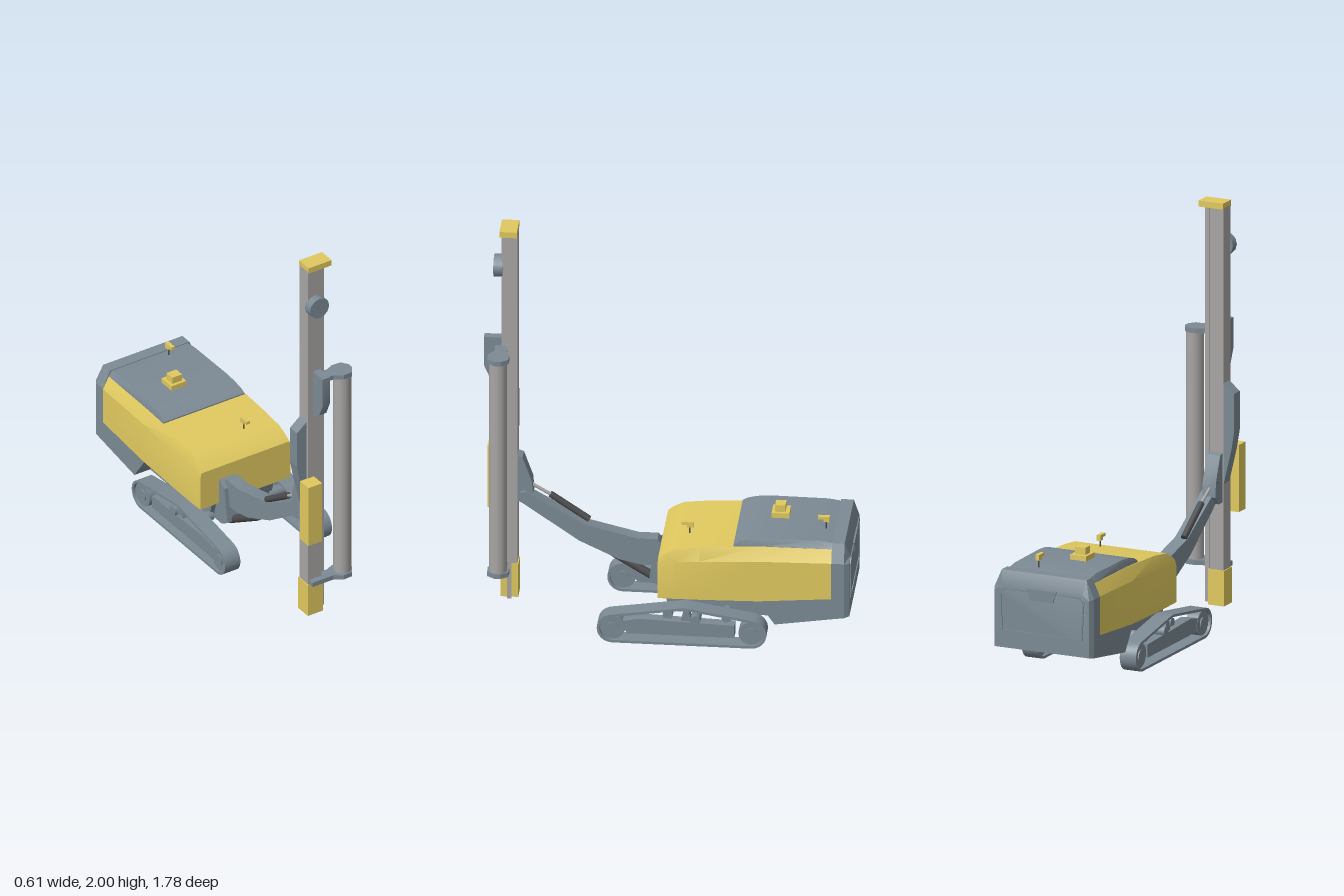
import * as THREE from 'three';
import { toCreasedNormals } from 'three/addons/utils/BufferGeometryUtils.js';

const paint = (color, flat = false) => new THREE.MeshStandardMaterial({ color, flatShading: flat });
const YELLOW = paint(0xe0c95f), SLATE = paint(0x7c8a94), STEEL = paint(0xa8a6a4), DARK = paint(0x4c4c4e);

export function createModel() {
  const root = new THREE.Group();

  const add = (name, geo, mat, parent = root) => {
    const m = new THREE.Mesh(geo, mat);
    m.name = name;
    parent.add(m);
    return m;
  };
  // box from min/max ranges
  const box = (name, mat, [x0, x1], [y0, y1], [z0, z1], parent = root) => {
    const m = add(name, new THREE.BoxGeometry(x1 - x0, y1 - y0, z1 - z0), mat, parent);
    m.position.set((x0 + x1) / 2, (y0 + y1) / 2, (z0 + z1) / 2);
    return m;
  };
  // side outline in (z, y), thickened from x0 to x1
  const slabGeo = (shape, x0, x1) => toCreasedNormals(
    new THREE.ExtrudeGeometry(shape, { depth: x1 - x0, bevelEnabled: false, curveSegments: 10 })
      .rotateY(-Math.PI / 2).translate(x1, 0, 0), 0.6);
  const poly = pts => new THREE.Shape(pts.map(p => new THREE.Vector2(...p)));
  const slab = (name, mat, pts, x0, x1, parent = root) => add(name, slabGeo(poly(pts), x0, x1), mat, parent);
  // round bar between two points
  const rod = (name, mat, a, b, r, parent = root, sides = 16) => {
    const p = new THREE.Vector3(...a), q = new THREE.Vector3(...b);
    const m = add(name, new THREE.CylinderGeometry(r, r, p.distanceTo(q), sides), mat, parent);
    m.position.copy(p).add(q).multiplyScalar(0.5);
    m.quaternion.setFromUnitVectors(new THREE.Vector3(0, 1, 0), q.sub(p).normalize());
    return m;
  };
  // closed loft through symmetric sections, front to back:
  // [z, bottom y, shoulder y, top y, half width, top half width, (shoulder z, top z)]
  const loft = (name, mat, sections, parent = root) => {
    const rings = sections.map(([z, yb, ys, yt, w, wt, zs = z, zt = zs]) => [
      [-w, yb, z], [w, yb, z], [w, ys, zs], [wt, yt, zt], [-wt, yt, zt], [-w, ys, zs]]);
    const pos = [];
    const tri = (a, b, c) => pos.push(...a, ...b, ...c);
    for (let s = 0; s + 1 < rings.length; s++) for (let i = 0; i < 6; i++) {
      const j = (i + 1) % 6, [r, q] = [rings[s], rings[s + 1]];
      tri(r[i], q[i], q[j]);
      tri(r[i], q[j], r[j]);
    }
    const f = rings[0], k = rings[rings.length - 1];
    for (let i = 1; i < 5; i++) { tri(f[0], f[i], f[i + 1]); tri(k[0], k[i + 1], k[i]); }
    const g = new THREE.BufferGeometry();
    g.setAttribute('position', new THREE.Float32BufferAttribute(pos, 3));
    g.computeVertexNormals();
    return add(name, toCreasedNormals(g, 0.35), mat, parent);
  };

  // --- Body ---
  loft('engineCover', YELLOW, [
    [0.028, 0.225, 0.405, 0.43, 0.256, 0.25],
    [0.0, 0.225, 0.413, 0.455, 0.258, 0.246],
    [-0.05, 0.226, 0.42, 0.482, 0.26, 0.242],
    [-0.17, 0.228, 0.432, 0.498, 0.262, 0.238],
    [-0.45, 0.235, 0.447, 0.513, 0.264, 0.235],
    [-0.8, 0.265, 0.455, 0.515, 0.265, 0.232]]);
  loft('roofHood', SLATE, [
    [-0.33, 0.48, 0.5, 0.513, 0.232, 0.23],
    [-0.355, 0.48, 0.505, 0.53, 0.232, 0.226],
    [-0.4, 0.48, 0.51, 0.543, 0.232, 0.222],
    [-0.47, 0.48, 0.515, 0.55, 0.232, 0.22],
    [-0.74, 0.48, 0.515, 0.55, 0.232, 0.216],
    [-0.81, 0.48, 0.515, 0.54, 0.232, 0.216]]);
  loft('rearCasing', SLATE, [
    [-0.8, 0.2, 0.455, 0.545, 0.265, 0.225],
    [-0.86, 0.2, 0.455, 0.545, 0.265, 0.225],
    [-0.885, 0.2, 0.45, 0.475, 0.25, 0.215]]);
  loft('rearUnderbody', SLATE, [
    [-0.45, 0.228, 0.23, 0.236, 0.264, 0.264],
    [-0.53, 0.115, 0.235, 0.243, 0.264, 0.264],
    [-0.8, 0.157, 0.255, 0.267, 0.265, 0.265],
    [-0.86, 0.166, 0.255, 0.267, 0.265, 0.265],
    [-0.885, 0.17, 0.255, 0.267, 0.25, 0.25]]);
  slab('chassis', SLATE, [[0.02, 0.23], [0.0, 0.2], [-0.02, 0.115], [-0.53, 0.115], [-0.46, 0.235]], -0.175, 0.175);
  // rear door frame and latch
  const door = new THREE.Group();
  door.name = 'rearDoor';
  root.add(door);
  const frame = poly([[-0.215, 0.25], [0.215, 0.25], [0.225, 0.44], [0.2, 0.465], [-0.2, 0.465], [-0.225, 0.44]]);
  frame.holes.push(new THREE.Path([[-0.207, 0.258], [-0.216, 0.437], [-0.197, 0.457], [0.197, 0.457], [0.216, 0.437], [0.207, 0.258]]
    .map(p => new THREE.Vector2(...p))));
  add('doorFrame', new THREE.ExtrudeGeometry(frame, { depth: 0.006, bevelEnabled: false }).translate(0, 0, -0.89), SLATE, door);
  const latch = poly([[-0.08, 0.475], [-0.06, 0.42], [0.06, 0.42], [0.08, 0.475]]);
  add('doorLatch', new THREE.ExtrudeGeometry(latch, { depth: 0.02, bevelEnabled: false }).translate(0, 0, -0.893), SLATE, door);

  // --- Roof fittings ---
  box('roofBoxBase', YELLOW, [-0.08, 0.005], [0.545, 0.575], [-0.575, -0.49]);
  box('roofBoxTop', YELLOW, [-0.065, -0.01], [0.575, 0.61], [-0.555, -0.505]);
  for (const [z, y] of [[-0.1, 0.48], [-0.75, 0.542]]) {
    const lamp = new THREE.Group();
    lamp.name = 'workLamp';
    lamp.position.set(0.08, y, z);
    root.add(lamp);
    rod('lampStem', DARK, [0, 0, -0.008], [0, 0.055, -0.008], 0.004, lamp, 8);
    box('lampHead', YELLOW, [-0.01, 0.01], [0.055, 0.07], [-0.025, 0.03], lamp);
    box('lampVisor', YELLOW, [-0.01, 0.01], [0.042, 0.057], [-0.025, 0.005], lamp);
  }

  // --- Crawler tracks ---
  const trackLoop = (Kind, t) => {
    const p = new Kind(), r = 0.074 - t, a = 1.4;
    p.moveTo(-0.42, t);
    p.lineTo(0.24, t);
    p.absarc(0.24, 0.074, r, -Math.PI / 2, a, false);
    p.lineTo(-0.06, 0.195 - t);
    p.lineTo(-0.1, 0.2 - t);
    p.lineTo(-0.14, 0.195 - t);
    p.absarc(-0.42, 0.074, r, Math.PI - a, Math.PI * 1.5, false);
    return p;
  };
  for (const s of [-1, 1]) {
    const track = new THREE.Group();
    track.name = s > 0 ? 'leftTrack' : 'rightTrack';
    track.position.x = s * 0.26;
    root.add(track);
    const belt = trackLoop(THREE.Shape, 0);
    belt.holes.push(trackLoop(THREE.Path, 0.013));
    add('belt', slabGeo(belt, -0.043, 0.043), SLATE, track);
    for (const z of [0.24, -0.42]) {
      rod('trackWheel', SLATE, [-0.03, 0.074, z], [0.03, 0.074, z], 0.06, track, 24);
      rod('wheelHub', SLATE, [-0.036, 0.074, z], [0.036, 0.074, z], 0.03, track);
    }
    slab('trackFrame', SLATE, [[0.21, 0.105], [0.17, 0.045], [-0.34, 0.045], [-0.34, 0.11], [0.12, 0.125]], -0.028, 0.028, track);
    rod('topRoller', SLATE, [-0.035, 0.13, -0.155], [0.035, 0.13, -0.155], 0.025, track);
    slab('rollerBracket', SLATE, [[-0.085, 0.12], [-0.135, 0.12], [-0.12, 0.185], [-0.1, 0.185]], -0.02, 0.02, track);
    for (const z of [-0.02, -0.3])
      rod('trackAxle', SLATE, [-s * 0.1, 0.135, z], [0, 0.135, z], 0.024, track);
  }

  // --- Boom ---
  slab('boomBase', SLATE, [[0.075, 0.33], [0.03, 0.36], [-0.02, 0.3], [-0.03, 0.12], [0.05, 0.12], [0.1, 0.15]], -0.15, -0.06);
  slab('boom', SLATE, [[0.72, 0.565], [0.712, 0.585], [0.69, 0.593], [0.405, 0.43], [0.155, 0.37], [0.06, 0.37], [0.045, 0.35],
    [0.03, 0.23], [0.14, 0.23], [0.245, 0.255], [0.435, 0.345], [0.7, 0.53], [0.718, 0.54]], -0.13, -0.062);
  rod('lowerCylinder', DARK, [-0.105, 0.135, 0.06], [-0.105, 0.28, 0.295], 0.02);
  rod('lowerPiston', STEEL, [-0.105, 0.28, 0.295], [-0.105, 0.355, 0.435], 0.01);
  rod('upperCylinder', DARK, [-0.115, 0.435, 0.39], [-0.115, 0.56, 0.575], 0.016);
  rod('upperPiston', STEEL, [-0.115, 0.56, 0.575], [-0.115, 0.62, 0.68], 0.008);
  slab('mastBracket', SLATE, [[0.735, 0.775], [0.705, 0.765], [0.66, 0.64], [0.655, 0.57], [0.69, 0.53], [0.735, 0.53]], -0.15, -0.08);

  // --- Mast ---
  box('mast', STEEL, [-0.155, -0.08], [0.02, 1.975], [0.73, 0.805]);
  box('feedRail', STEEL, [-0.065, -0.045], [0.025, 1.975], [0.755, 0.775]);
  box('mastCap', YELLOW, [-0.155, -0.025], [1.97, 2.0], [0.727, 0.81]);
  box('mastFoot', YELLOW, [-0.16, -0.075], [0.02, 0.195], [0.725, 0.81]);
  rod('hosePulley', SLATE, [-0.115, 1.775, 0.8], [-0.115, 1.775, 0.843], 0.055, root, 12);
  slab('rotationUnit', SLATE, [[0.8, 1.4], [0.89, 1.4], [0.89, 1.25], [0.86, 1.18], [0.8, 1.14]], -0.128, -0.088);
  const guard = poly([[-0.15, 1.12], [-0.21, 1.07], [-0.21, 0.88], [-0.195, 0.79], [-0.15, 0.6]]);
  add('hoseGuard', new THREE.ExtrudeGeometry(guard, { depth: 0.06, bevelEnabled: false }).translate(0, 0, 0.733), SLATE);
  box('controlBox', YELLOW, [-0.2, -0.122], [0.47, 0.8], [0.803, 0.876]);

  // --- Rod magazine ---
  rod('rodMagazine', STEEL, [0.035, 0.2, 0.81], [0.035, 1.35, 0.81], 0.043, root, 20);
  for (const [name, y, x] of [['upperMagazinePlate', 1.335, -0.09], ['lowerMagazinePlate', 0.195, -0.15]]) {
    // plate outline drawn in (x, -z) and laid flat
    const plate = poly([[x, -0.765], [x, -0.835], [-0.03, -0.835], [0.01, -0.862], [0.058, -0.86], [0.082, -0.825],
      [0.082, -0.795], [0.058, -0.76], [0.01, -0.758], [-0.03, -0.775]]);
    add(name, new THREE.ExtrudeGeometry(plate, { depth: 0.024, bevelEnabled: false })
      .rotateX(-Math.PI / 2).translate(0, y, 0), SLATE);
  }
  return root;
}
